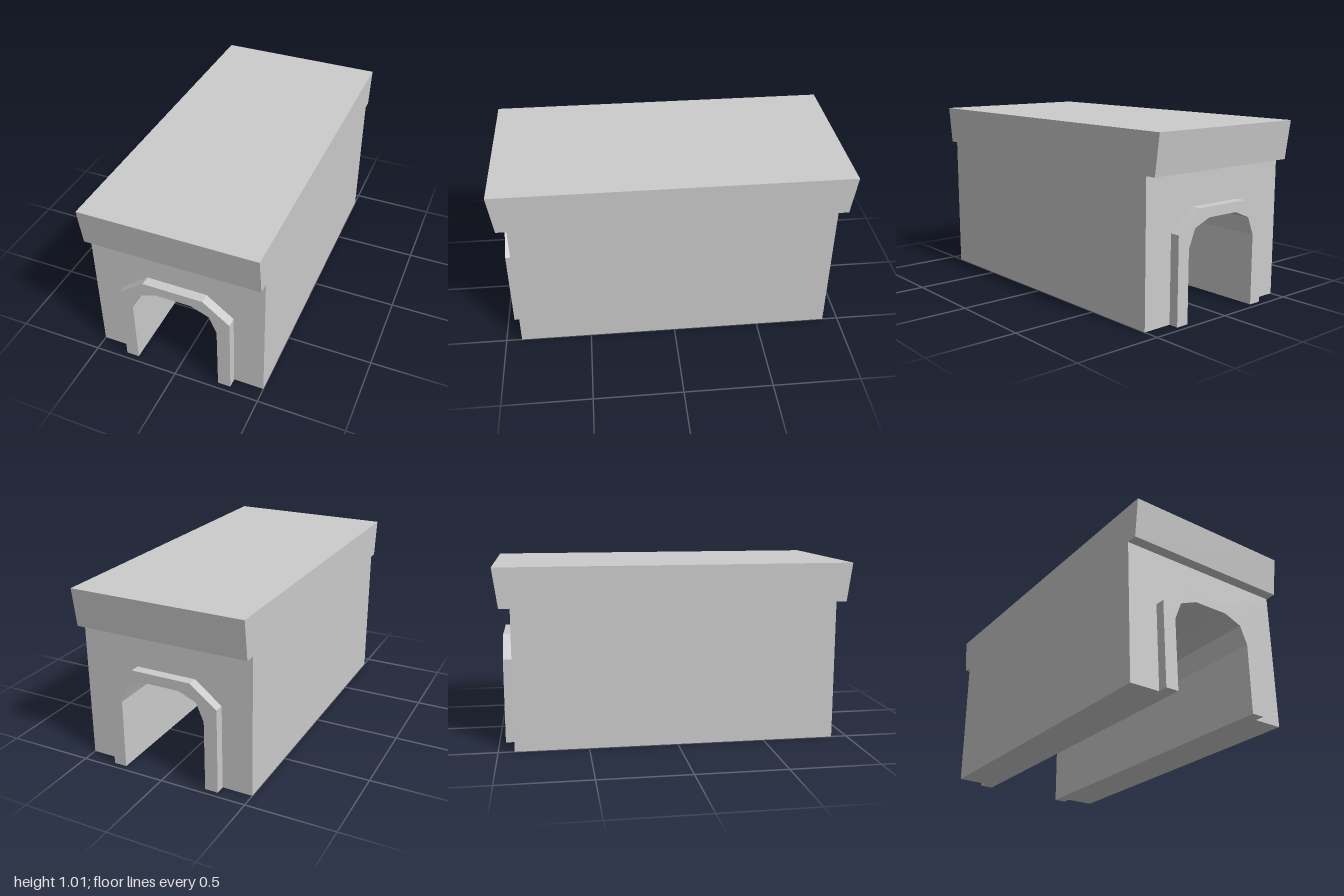
import * as THREE from 'three';

const HALF_WIDTH = 0.5;
const BODY_HALF_LENGTH = 0.91;
const BODY_TOP = 0.795;
const SURROUND_DEPTH = 0.055;

// Right half of the faceted tunnel arch, from the ground up
const OPENING = [[0.25, 0], [0.25, 0.4], [0.207, 0.503], [0.104, 0.545]];
// Right half of the raised surround's outer edge
const SURROUND = [[0.325, 0], [0.325, 0.484], [0.173, 0.602]];
const WALL = [[HALF_WIDTH, 0], [HALF_WIDTH, BODY_TOP]];

const material = new THREE.MeshStandardMaterial({ color: 0xcccccc, flatShading: true });

// Mirrors an outer half outline around the tunnel opening into one closed shape
function archShape(outer) {
  const mirror = ([x, y]) => [-x, y];
  const points = [
    ...outer,
    ...outer.map(mirror).reverse(),
    ...OPENING.map(mirror),
    ...[...OPENING].reverse(),
  ];
  return new THREE.Shape(points.map(([x, y]) => new THREE.Vector2(x, y)));
}

function extrude(name, shape, depth) {
  const geometry = new THREE.ExtrudeGeometry(shape, { depth, bevelEnabled: false });
  geometry.translate(0, 0, -depth / 2);
  const mesh = new THREE.Mesh(geometry, material);
  mesh.name = name;
  return mesh;
}

export function createModel() {
  const model = new THREE.Group();
  model.name = 'tunnelBlock';

  // Main body with the tunnel running through it
  model.add(extrude('tunnelBody', archShape(WALL), BODY_HALF_LENGTH * 2));

  // Raised arch surround at each mouth
  for (const [name, side] of [['frontArchSurround', 1], ['backArchSurround', -1]]) {
    const surround = extrude(name, archShape(SURROUND), SURROUND_DEPTH);
    surround.position.z = side * (BODY_HALF_LENGTH + SURROUND_DEPTH / 2);
    model.add(surround);
  }

  // Roof slab whose ends flare outward towards the top
  const roofProfile = new THREE.Shape(
    [[-0.97, BODY_TOP], [0.97, BODY_TOP], [1, 1.015], [-1, 1.015]].map(([z, y]) => new THREE.Vector2(z, y))
  );
  const roof = extrude('roofSlab', roofProfile, HALF_WIDTH * 2);
  roof.rotation.y = Math.PI / 2;
  model.add(roof);

  return model;
}
